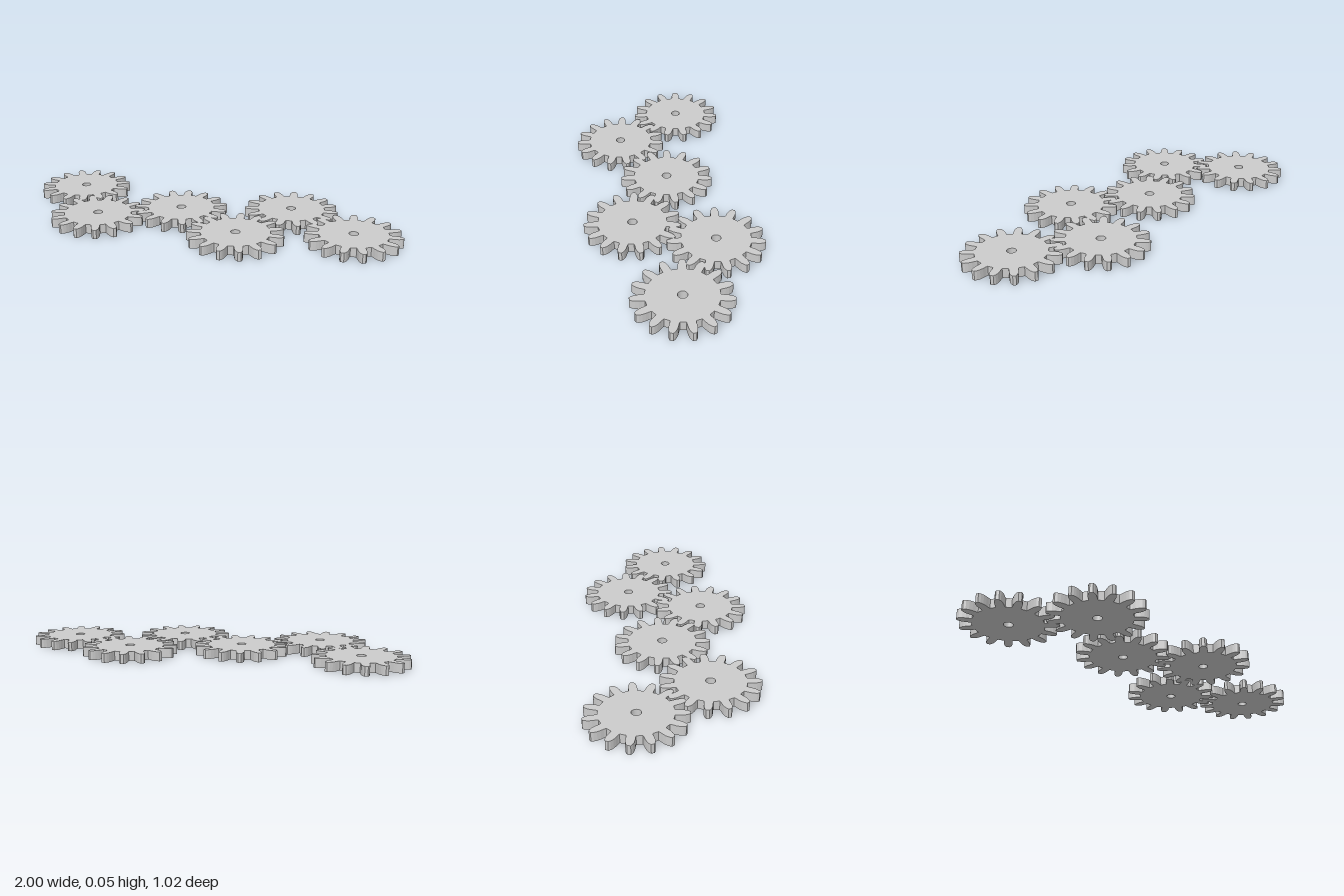
import * as THREE from 'three';

const TEETH = 15, HEIGHT = 0.048, HOLE = 0.024;

// Half tooth outline: [half angle in degrees, radius], root to tip
const FLANK = [[7.2, 0.175], [6.4, 0.187], [6, 0.203], [5.1, 0.22], [3.6, 0.235], [1.8, 0.245]];

// Gear centres [x, z], each meshing with the next
const CENTRES = [
  [-0.754, -0.268], [-0.572, 0.125], [-0.155, -0.019],
  [0.174, 0.268], [0.425, -0.089], [0.754, 0.197],
];

function gearGeometry() {
  const points = [];
  const add = (deg, r) => {
    const a = THREE.MathUtils.degToRad(deg);
    points.push(new THREE.Vector2(Math.cos(a) * r, Math.sin(a) * r));
  };
  for (let i = 0; i < TEETH; i++) {
    const mid = 90 + (i * 360) / TEETH;
    for (const [h, r] of FLANK) add(mid - h, r);
    for (const [h, r] of [...FLANK].reverse()) add(mid + h, r);
  }
  const shape = new THREE.Shape(points);
  // Axle hole
  shape.holes.push(new THREE.Path().absarc(0, 0, HOLE, 0, Math.PI * 2, true));
  const geometry = new THREE.ExtrudeGeometry(shape, {
    depth: HEIGHT, bevelEnabled: false, curveSegments: 16,
  });
  return geometry.rotateX(-Math.PI / 2);
}

export function createModel() {
  const group = new THREE.Group();
  group.name = 'gearTrain';
  const geometry = gearGeometry();
  const material = new THREE.MeshStandardMaterial({ color: 0xcccccc, flatShading: true });
  CENTRES.forEach(([x, z], i) => {
    const gear = new THREE.Mesh(geometry, material);
    gear.name = `gear${i + 1}`;
    gear.position.set(x, 0, z);
    group.add(gear);
  });
  return group;
}
